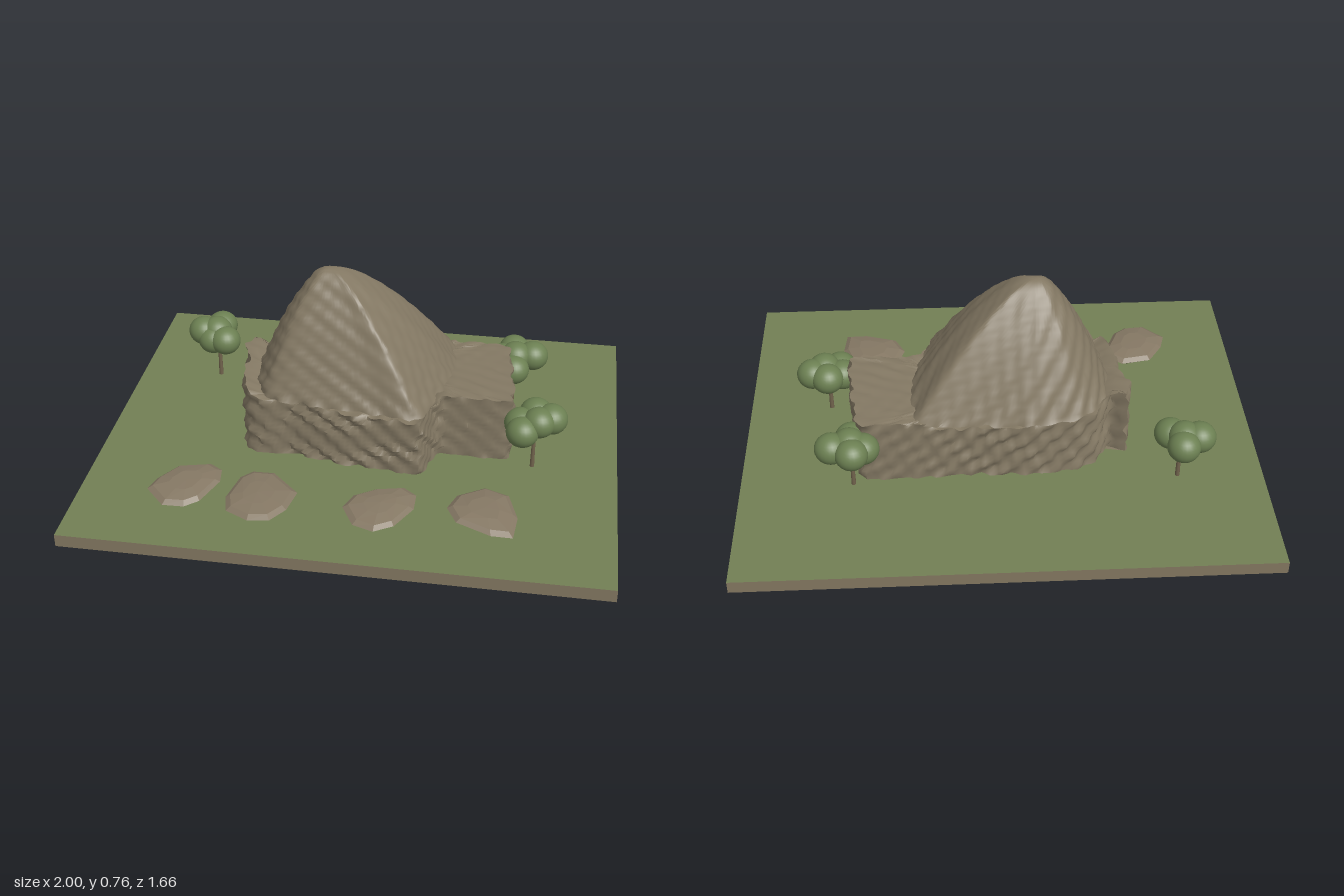
import * as THREE from 'three';
import { toCreasedNormals } from 'three/addons/utils/BufferGeometryUtils.js';

const material = (name, color) => {
  const m = new THREE.MeshStandardMaterial({ color });
  m.name = name;
  return m;
};

// Closed, evenly resampled outline on the ground plane
function outline(points, count) {
  const curve = new THREE.CatmullRomCurve3(
    points.map(([x, z]) => new THREE.Vector3(x, 0, z)), true, 'catmullrom', 0.25);
  curve.arcLengthDivisions = 1000;
  return curve.getSpacedPoints(count).slice(0, count).map(p => [p.x, p.z]);
}

// Stack rings of one outline, each shrunk towards a centre; place() sets the final point
function loft(points, [cx, cz], rings, place) {
  const n = points.length, pos = [], index = [];
  for (const [s, y] of rings) {
    for (const [x, z] of points) pos.push(...place(cx + (x - cx) * s, y, cz + (z - cz) * s, s));
  }
  for (let j = 0; j < rings.length - 1; j++) {
    for (let i = 0; i < n; i++) {
      const a = j * n + i, b = j * n + (i + 1) % n;
      if (rings[j][0] > 0) index.push(a, a + n, b);
      if (rings[j + 1][0] > 0) index.push(b, a + n, b + n);
    }
  }
  const g = new THREE.BufferGeometry();
  g.setAttribute('position', new THREE.Float32BufferAttribute(pos, 3));
  g.setIndex(index);
  return g;
}

// Slanting hewn ripples
const ripple = (x, y, z) =>
  0.5 * Math.sin(60 * x + 75 * y - 50 * z) + 0.3 * Math.sin(95 * x - 40 * y + 70 * z + 1)
  + 0.2 * Math.sin(30 * x + 110 * y + 120 * z);

export function createModel() {
  const model = new THREE.Group();
  const grass = material('grass green', 0x727f54);
  const earth = material('earth brown', 0x827760);
  const rock = material('rock brown', 0x837863);
  const pebble = material('stone brown', 0x857864);
  const leaf = material('leaf green', 0x6c8052);
  const bark = material('bark brown', 0x70624c);
  const add = (name, geometry, mat, parent = model) => {
    const mesh = new THREE.Mesh(geometry, mat);
    mesh.name = name;
    parent.add(mesh);
    return mesh;
  };

  // Ground slab with a grass top
  add('ground', new THREE.BoxGeometry(2, 0.05, 1.656),
    [earth, earth, grass, earth, earth, earth]).position.y = 0.025;

  // Rough L-shaped walls, with a top edge that dips in the middle
  const wallOutline = outline([
    [-0.485, -0.19], [-0.42, -0.16], [-0.36, -0.25], [-0.27, -0.29], [-0.1, -0.31], [0.1, -0.3],
    [0.35, -0.31], [0.51, -0.31], [0.55, -0.27], [0.57, -0.1], [0.585, 0.1], [0.5, 0.115],
    [0.33, 0.11], [0.29, 0.15], [0.25, 0.265], [0.1, 0.25], [-0.05, 0.24], [-0.25, 0.2],
    [-0.35, 0.21], [-0.42, 0.19], [-0.46, 0.1], [-0.46, 0], [-0.49, -0.1],
  ], 180);
  const wallTop = x => {
    const step = (a, b) => THREE.MathUtils.smoothstep(x, a, b);
    return 0.335 - 0.04 * step(-0.44, -0.36) - 0.015 * step(-0.15, -0.08) + 0.037 * step(0.22, 0.32);
  };
  const wallRings = [[0, 0], [1, 0]];
  for (let j = 1; j <= 14; j++) wallRings.push([1, j / 14]);
  for (let j = 1; j <= 12; j++) wallRings.push([1 - j / 12, 1]);
  const walls = loft(wallOutline, [0.05, -0.08], wallRings, (x, h, z, s) => {
    const y = 0.05 + h * (wallTop(x) - 0.05);
    const d = ripple(x, y, z) * 0.014 * s;
    const dir = Math.atan2(z + 0.08, x - 0.05);
    return [x + d * Math.cos(dir), y + (h === 1 ? ripple(z, x, y) * 0.006 : 0), z + d * Math.sin(dir)];
  });
  add('rockWalls', toCreasedNormals(walls, 0.9), rock);

  // Tall lopsided mound over the walls
  const moundOutline = outline([
    [-0.425, -0.08], [-0.395, -0.18], [-0.3, -0.285], [-0.12, -0.325], [0.1, -0.315], [0.33, -0.3],
    [0.355, -0.1], [0.34, 0], [0.31, 0.1], [0.245, 0.27], [0.1, 0.255], [-0.1, 0.24],
    [-0.28, 0.22], [-0.36, 0.19], [-0.41, 0.08],
  ], 160);
  const profile = new THREE.SplineCurve([
    [1, 0.3], [0.93, 0.345], [0.74, 0.47], [0.55, 0.58], [0.37, 0.665], [0.22, 0.725], [0.1, 0.755], [0, 0.763],
  ].map(p => new THREE.Vector2(...p)));
  const moundRings = [[0, 0.302], ...profile.getSpacedPoints(36).map(p => [p.x, p.y])];
  moundRings[moundRings.length - 1][0] = 0;
  const mound = loft(moundOutline, [-0.14, -0.02], moundRings, (x, y, z, s) => {
    const d = ripple(x, y, z) * (0.004 + 0.007 * s ** 6) * Math.min(1, s * 4);
    const dir = Math.atan2(z + 0.02, x + 0.14);
    return [x + d * Math.cos(dir), y + (s > 0.99 ? ripple(z, x, y) * 0.006 : 0), z + d * Math.sin(dir)];
  });
  add('mound', toCreasedNormals(mound, 0.9), rock);

  // Flat faceted stones along the front
  const stones = [
    [[-.74, .53], [-.72, .46], [-.66, .37], [-.54, .345], [-.49, .38], [-.48, .45], [-.53, .57], [-.58, .61], [-.66, .615]],
    [[-.44, .53], [-.41, .41], [-.37, .37], [-.29, .365], [-.18, .47], [-.2, .58], [-.25, .65], [-.33, .66], [-.42, .61]],
    [[0, .53], [.03, .46], [.11, .41], [.21, .385], [.26, .42], [.26, .5], [.2, .61], [.13, .65], [.05, .62]],
    [[.38, .48], [.41, .4], [.51, .34], [.6, .38], [.64, .5], [.63, .61], [.55, .61], [.42, .56]],
  ];
  stones.forEach((points, k) => {
    const centre = [0, 1].map(a => points.reduce((t, p) => t + p[a], 0) / points.length);
    const rings = [[0, 0.05], [0.8, 0.05], [1, 0.067], [0.85, 0.08], [0.45, 0.089], [0, 0.091]];
    const g = loft(points, centre, rings, (x, y, z, s) =>
      [x, y + (y > 0.06 ? 0.004 * s * Math.sin(9 * x + 14 * z + k) - 0.03 * (z - centre[1]) : 0), z]).toNonIndexed();
    g.computeVertexNormals();
    add('flatStone' + (k + 1), g, pebble);
  });

  // Small trees: thin trunk and a cluster of round crowns
  const crown = new THREE.SphereGeometry(0.063, 24, 16);
  const trunk = new THREE.CylinderGeometry(0.006, 0.009, 0.19, 10);
  const trees = [
    [-0.67, -0.34, [[-.67, .25, -.41], [-.737, .25, -.355], [-.635, .235, -.31], [-.69, .228, -.325], [-.68, .255, -.355]]],
    [0.57, -0.33, [[.565, .25, -.395], [.642, .25, -.355], [.57, .228, -.27], [.525, .235, -.345], [.575, .255, -.335]]],
    [0.675, 0.14, [[.675, .25, .07], [.735, .25, .105], [.62, .232, .12], [.63, .228, .178], [.69, .252, .14]]],
  ];
  trees.forEach(([x, z, balls], k) => {
    const tree = new THREE.Group();
    tree.name = 'tree' + (k + 1);
    add('trunk', trunk, bark, tree).position.set(x, 0.145, z);
    for (const p of balls) {
      const ball = add('foliage', crown, leaf, tree);
      ball.position.set(...p);
      ball.scale.y = 0.93;
    }
    model.add(tree);
  });
  return model;
}
